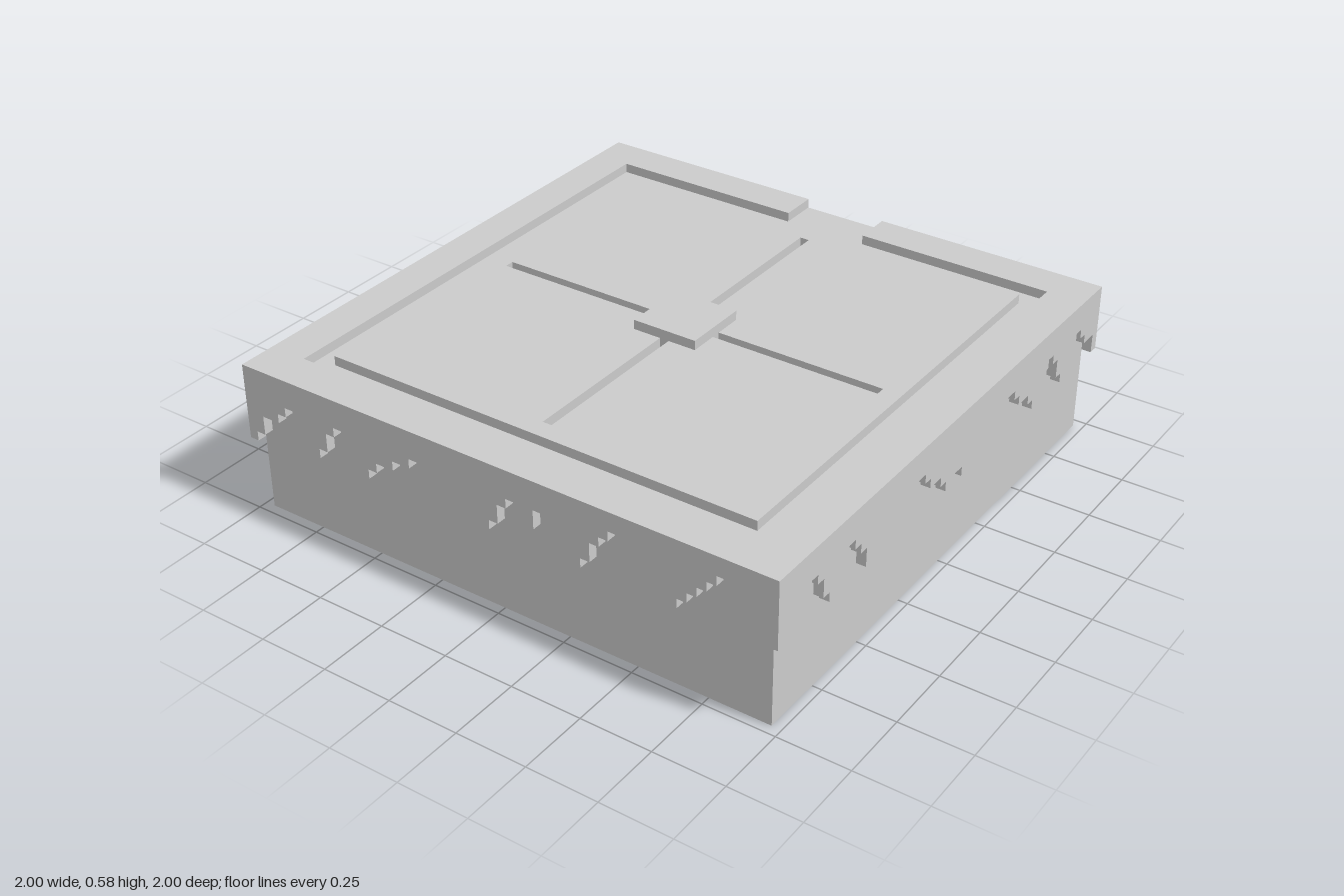
import * as THREE from 'three';

const U = 2 / 59; // one grid step; everything below is measured in steps
const HALF = 29.5;

// Lower edge of the icing per column, as heights in steps
const EDGE_START = [8, 9, 11, 11, 12, 13, 12, 10, 9, 10, 12, 13, 12, 11, 9, 10, 11, 11, 12];
const LONG_EDGE = [...EDGE_START, 12, 13, 13, 13, 13, 12, 11, 11, 10, 9, 10,
  12, 13, 12, 11, 13, 13, 12, 11, 9, 10, 12, 13, 14, 14, 12, 11, 10, 9, 9,
  10, 11, 12, 13, 14, 14, 13, 12, 11, 9];
const HALF_EDGE = [...EDGE_START, 13, 13, 13, 13, 13, 12, 11, 11, 10, 9, 10];
const SIDE_EDGE = [...HALF_EDGE, ...HALF_EDGE.slice(1).reverse()];

const polygon = (points) => points.map(([x, y]) => new THREE.Vector2(x, y));
const square = (r) => polygon([[-r, -r], [r, -r], [r, r], [-r, r]]);

export function createModel() {
  const model = new THREE.Group();
  model.name = 'icedSquareBlock';
  const material = new THREE.MeshStandardMaterial({ color: 0xcccccc });

  const add = (name, geometry, x = 0, y = 0, z = 0) => {
    const mesh = new THREE.Mesh(geometry, material);
    mesh.name = name;
    mesh.position.set(x, y, z);
    model.add(mesh);
    return mesh;
  };
  const extrude = (shape, depth) => new THREE.ExtrudeGeometry(shape, { depth, bevelEnabled: false });

  // Flat one-step layer on top; shape y points to the back
  const addLayer = (name, shape) => {
    add(name, extrude(shape, 1).rotateX(-Math.PI / 2), 0, 15, 0);
  };

  // Stepped icing curtain covering columns first..last
  const curtain = (edge, first, last) => {
    const points = [];
    for (let i = first; i <= last; i++) {
      points.push([i - HALF, edge[i]], [i + 1 - HALF, edge[i]]);
    }
    points.push([last + 1 - HALF, 15], [first - HALF, 15]);
    const clean = points.filter(([x, y], i) => {
      const a = points[(i + points.length - 1) % points.length];
      const b = points[(i + 1) % points.length];
      return !(a[1] === y && b[1] === y);
    });
    return extrude(new THREE.Shape(polygon(clean)), 1);
  };

  // Body
  add('body', new THREE.BoxGeometry(57, 15, 57), 0, 7.5, 0);

  // Icing curtains on the four sides
  const longCurtain = curtain(LONG_EDGE, 0, 58);
  add('frontIcing', longCurtain, 0, 0, 28.5);
  add('backIcing', longCurtain, 0, 0, -29.5);
  const sideCurtain = curtain(SIDE_EDGE, 1, 57).rotateY(Math.PI / 2);
  add('leftIcing', sideCurtain, 28.5, 0, 0);
  add('rightIcing', sideCurtain, -29.5, 0, 0);

  // Top rim, open at the back where the channel runs out
  const inner = 25.5, gap = 4.5;
  addLayer('topRim', new THREE.Shape(polygon([
    [-gap, HALF], [-HALF, HALF], [-HALF, -HALF], [HALF, -HALF], [HALF, HALF], [gap, HALF],
    [gap, inner], [inner, inner], [inner, -inner], [-inner, -inner], [-inner, inner], [-gap, inner],
  ])));

  // Raised top panel with a sunken cross
  const panel = new THREE.Shape(square(23.5));
  const w = 0.5, l = 21.5;
  panel.holes.push(new THREE.Path(polygon([
    [-w, -l], [-w, -w], [-l, -w], [-l, w], [-w, w], [-w, l],
    [w, l], [w, w], [l, w], [l, -w], [w, -w], [w, -l],
  ])));
  addLayer('topPanel', panel);

  // Square block over the middle of the cross
  add('centreBlock', new THREE.BoxGeometry(7, 2, 7), 0, 16, 0);

  model.scale.setScalar(U);
  const group = new THREE.Group();
  group.add(model);
  return group;
}
